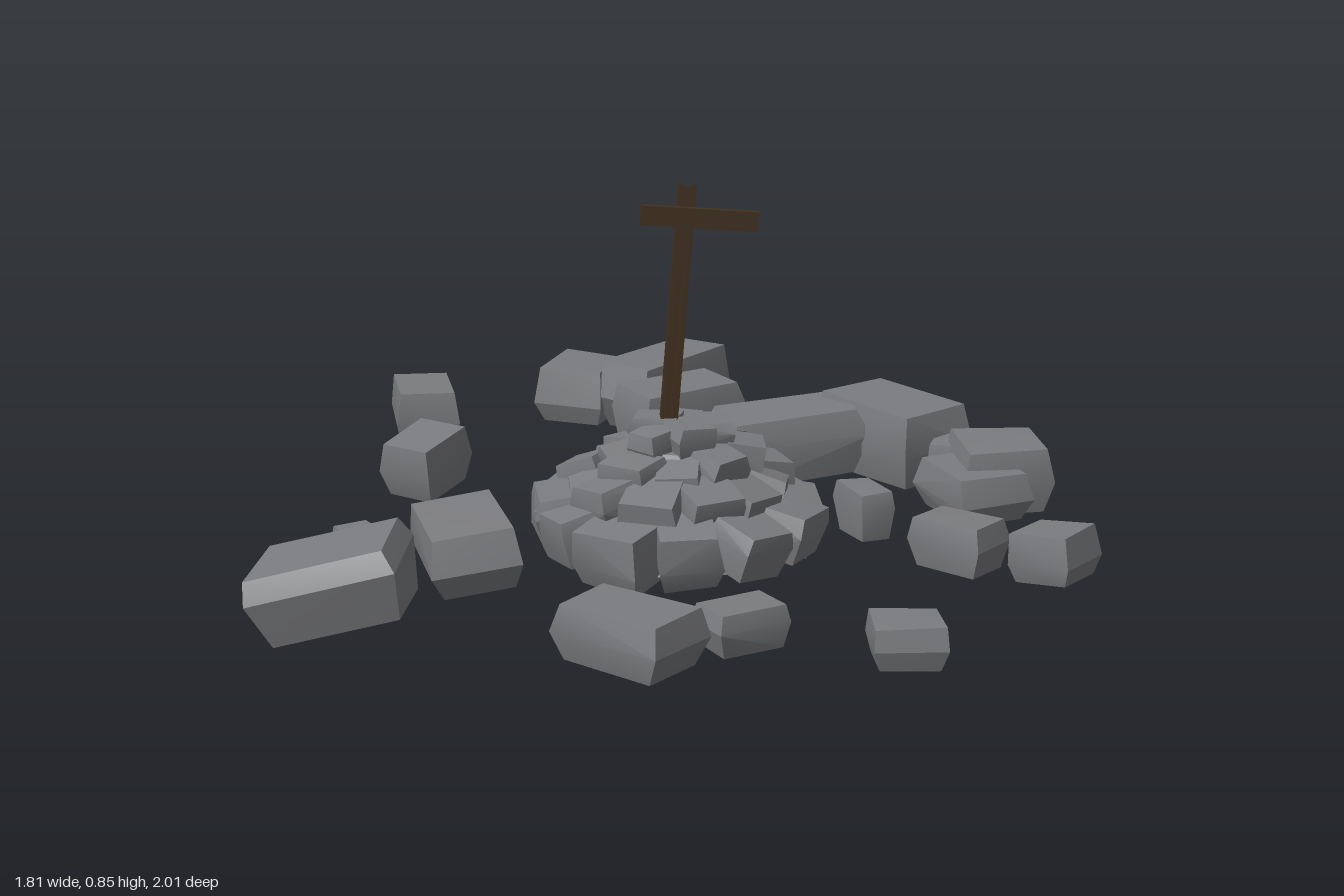
import * as THREE from 'three';
import { toCreasedNormals } from 'three/addons/utils/BufferGeometryUtils.js';
import { ConvexGeometry } from 'three/addons/geometries/ConvexGeometry.js';

let seed = 11;
function rnd(a, b) {
  seed = (seed * 16807) % 2147483647;
  return a + (b - a) * (seed / 2147483647);
}

// Irregular block: three jittered four-sided rings wrapped in a convex hull
function rockGeometry(l, h, w, jitter) {
  const pts = [];
  const rings = [[-0.5, 0.84], [rnd(-0.15, 0.2), 1.03], [0.5, 0.9]];
  const k = () => 1 - rnd(0, jitter);
  for (const [y, s] of rings) {
    for (const sx of [-1, 1]) {
      for (const sz of [-1, 1]) {
        pts.push(new THREE.Vector3(sx * s * k() * l / 2, y * h * k(), sz * s * k() * w / 2));
      }
    }
  }
  return toCreasedNormals(new ConvexGeometry(pts), 0.45);
}

export function createModel() {
  const stone = new THREE.MeshStandardMaterial({ color: 0x7b7c7f });
  stone.name = 'grey stone';
  const darkWood = new THREE.MeshStandardMaterial({ color: 0x41301f });
  darkWood.name = 'dark wood';

  const model = new THREE.Group();
  model.name = 'stoneCairn';

  function addRock(parent, name, position, size, yaw, tilt, roll, jitter) {
    const rock = new THREE.Mesh(rockGeometry(...size, jitter), stone);
    rock.name = name;
    rock.position.set(...position);
    rock.rotation.set(tilt, yaw, roll, 'YXZ');
    parent.add(rock);
  }

  // Scattered blocks: x, z, length, width, heading in degrees, top, optional roll
  const base = 0.035;
  const blocks = [
    [-0.16, -0.88, 0.18, 0.19, 25, 0.18],
    [0.04, -0.84, 0.33, 0.17, -46, 0.21],
    [0.06, -0.61, 0.29, 0.18, -29, 0.2],
    [0.09, -0.45, 0.2, 0.11, 28, 0.14],
    [0.3, -0.38, 0.35, 0.21, -12, 0.2, 0.06],
    [0.55, -0.38, 0.33, 0.22, 55, 0.22],
    [0.67, -0.24, 0.15, 0.1, -70, 0.16],
    [0.69, -0.06, 0.23, 0.19, 70, 0.15],
    [0.76, -0.12, 0.21, 0.22, -4, 0.19],
    [0.425, 0.08, 0.14, 0.085, 70, 0.15],
    [0.6, 0.315, 0.19, 0.13, 42, 0.15],
    [0.79, 0.4, 0.15, 0.15, 40, 0.15, 0.1],
    [0.41, 0.87, 0.16, 0.14, 0, 0.13],
    [0.09, 0.76, 0.17, 0.12, -26, 0.13],
    [-0.14, 0.84, 0.28, 0.18, 41, 0.16],
    [-0.73, 0.56, 0.34, 0.25, 9, 0.2, 0.26],
    [-0.46, 0.305, 0.2, 0.31, -10, 0.18, 0.12],
    [-0.67, 0.305, 0.18, 0.09, 63, 0.14],
    [-0.545, -0.315, 0.19, 0.14, -57, 0.17, 0.1],
    [-0.55, -0.71, 0.21, 0.15, 85, 0.18],
  ];
  const scatter = new THREE.Group();
  scatter.name = 'scatteredBlocks';
  for (const [x, z, l, w, heading, top, roll = 0] of blocks) {
    addRock(scatter, 'looseBlock', [x, (base + top) / 2, z], [l, top - base, w],
      -THREE.MathUtils.degToRad(heading), 0, roll, 0.1);
  }
  model.add(scatter);

  // Mound: rings of stones stacked around a solid core
  const mound = new THREE.Group();
  mound.name = 'mound';
  mound.position.set(0.01, 0, 0.08);
  const core = new THREE.Mesh(toCreasedNormals(new THREE.CylinderGeometry(0.09, 0.27, 0.22, 12), 0.45), stone);
  core.name = 'moundCore';
  core.position.y = 0.145;
  mound.add(core);

  // Count, radius, centre height, width, height, depth, outward tilt
  const rings = [
    [12, 0.245, 0.09, 0.165, 0.12, 0.16, 0.16],
    [11, 0.19, 0.155, 0.13, 0.1, 0.13, 0.28],
    [8, 0.125, 0.215, 0.12, 0.085, 0.11, 0.25],
    [5, 0.06, 0.28, 0.1, 0.065, 0.11, 0.08],
  ];
  rings.forEach(([n, r, y, w, h, d, tilt], level) => {
    for (let i = 0; i < n; i++) {
      const a = (i + level * 0.45 + rnd(-0.12, 0.12)) / n * Math.PI * 2;
      const rr = r + rnd(-0.015, 0.015);
      addRock(mound, 'moundStone',
        [Math.sin(a) * rr, y + rnd(-0.012, 0.012), Math.cos(a) * rr],
        [w * rnd(0.88, 1.14), h * rnd(0.9, 1.15), d * rnd(0.9, 1.1)],
        a + rnd(-0.15, 0.15), tilt + rnd(-0.1, 0.1), rnd(-0.12, 0.12), 0.15);
    }
  });
  model.add(mound);

  // Leaning wooden marker
  const marker = new THREE.Group();
  marker.name = 'woodenMarker';
  marker.position.set(-0.032, 0.025, 0.082);
  marker.rotation.z = -0.076;

  // Post with a notched top that slopes to the back
  const postGeometry = new THREE.BoxGeometry(0.038, 0.82, 0.036, 2, 1, 1).toNonIndexed();
  const p = postGeometry.attributes.position;
  for (let i = 0; i < p.count; i++) {
    if (p.getY(i) < 0) continue;
    const notch = Math.abs(p.getX(i)) < 0.01 ? 0.012 : 0;
    p.setY(i, p.getY(i) - notch - (p.getZ(i) < 0 ? 0.018 : 0));
  }
  postGeometry.computeVertexNormals();
  const post = new THREE.Mesh(postGeometry, darkWood);
  post.name = 'post';
  post.position.y = 0.413;
  marker.add(post);

  // Crossbar board
  const crossbar = new THREE.Mesh(new THREE.BoxGeometry(0.255, 0.043, 0.016), darkWood);
  crossbar.name = 'crossbar';
  crossbar.position.set(0.03, 0.748, 0.025);
  marker.add(crossbar);
  model.add(marker);

  return model;
}
